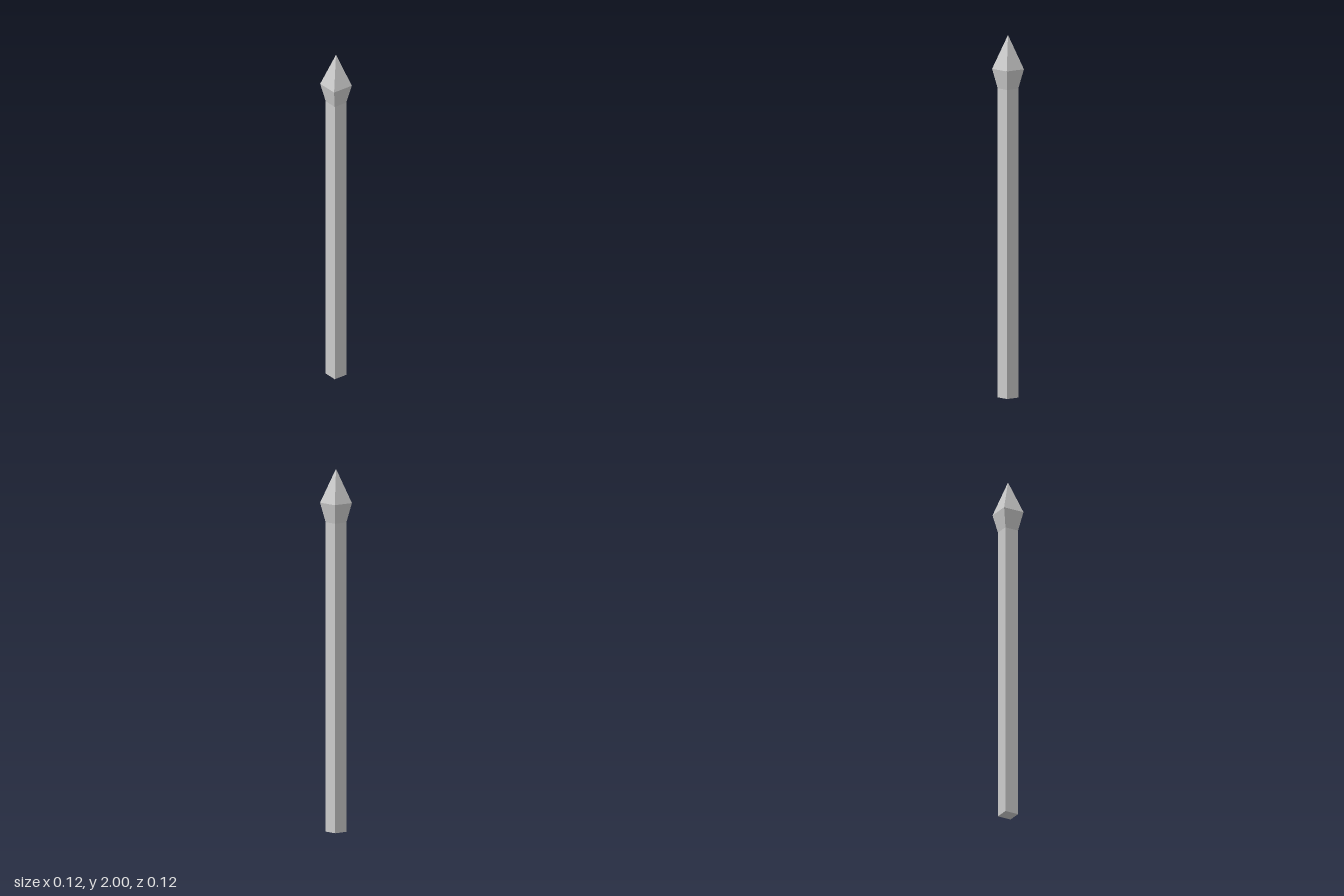
import * as THREE from 'three';

const material = new THREE.MeshStandardMaterial({ color: 0xcccccc, flatShading: true });

// Four-sided frustum from y0 to y1; half widths are measured to the flat sides
function squareFrustum(name, y0, half0, y1, half1, open = true) {
  const geometry = new THREE.CylinderGeometry(
    half1 * Math.SQRT2, half0 * Math.SQRT2, y1 - y0, 4, 1, open);
  geometry.rotateY(Math.PI / 4);
  geometry.translate(0, (y0 + y1) / 2, 0);
  const mesh = new THREE.Mesh(geometry, material);
  mesh.name = name;
  return mesh;
}

export function createModel() {
  const model = new THREE.Group();
  model.name = 'spikedPost';

  const shaftHalf = 0.04, headHalf = 0.0615;
  const neckY = 1.705, shoulderY = 1.812, tipY = 2;

  // Square shaft, closed at the foot
  model.add(squareFrustum('shaft', 0, shaftHalf, neckY, shaftHalf, false));

  // Pointed head: flaring collar below, pyramid above
  const head = new THREE.Group();
  head.name = 'head';
  head.add(squareFrustum('headCollar', neckY, shaftHalf, shoulderY, headHalf));
  head.add(squareFrustum('headPoint', shoulderY, headHalf, tipY, 0));
  model.add(head);

  return model;
}
